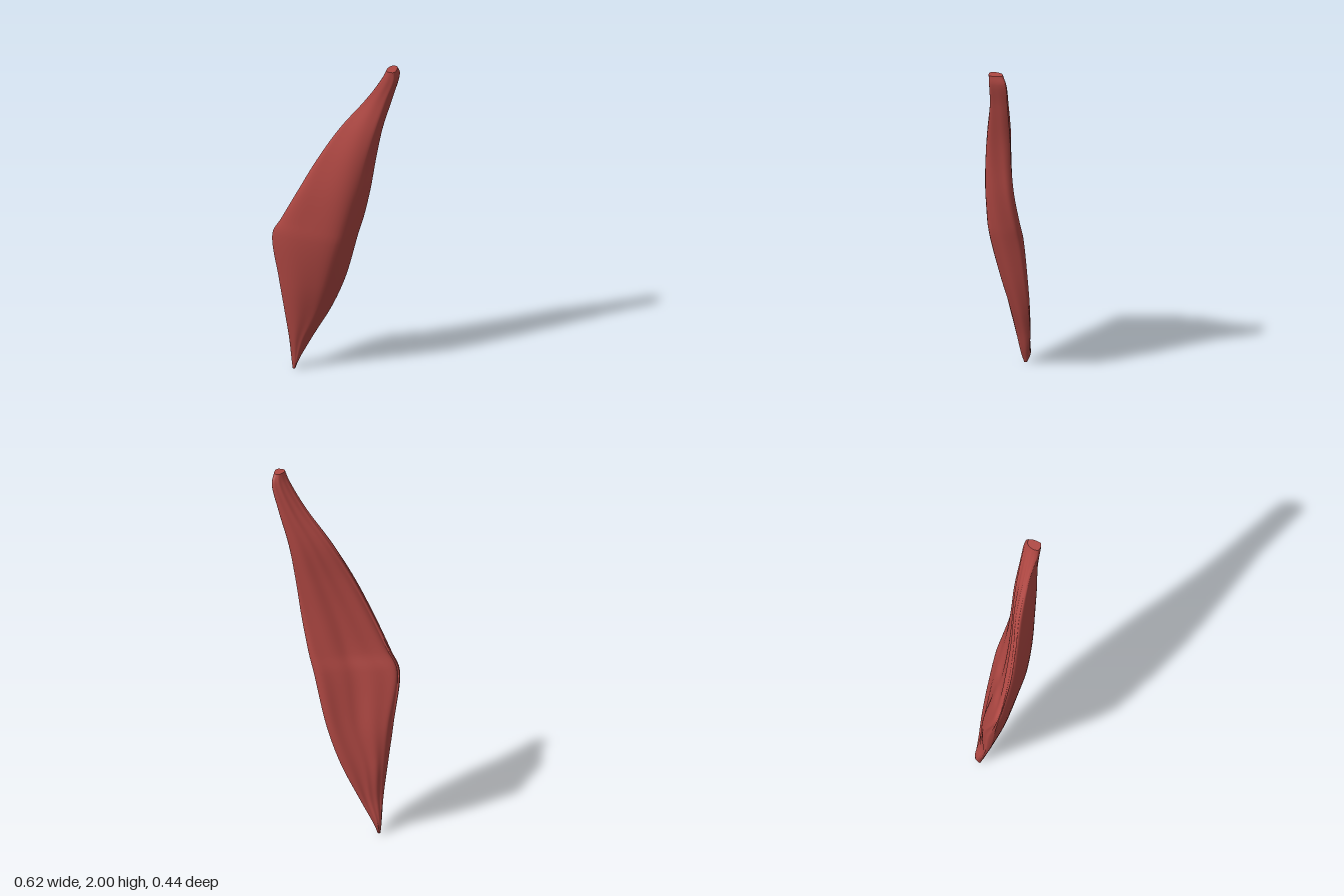
import * as THREE from 'three';

// Cross-sections from bottom to top: y, then x,z of
// outer edge, front belly, inner edge, back, back outer edge
const SECTIONS = [
  [0.0, -0.178, -0.195, -0.170, -0.190, -0.163, -0.198, -0.167, -0.207, -0.175, -0.205],
  [0.05, -0.183, -0.195, -0.168, -0.172, -0.143, -0.200, -0.155, -0.220, -0.175, -0.216],
  [0.2, -0.205, -0.170, -0.150, -0.132, -0.070, -0.175, -0.120, -0.188, -0.185, -0.187],
  [0.4, -0.238, -0.150, -0.090, -0.067, 0.020, -0.125, -0.100, -0.165, -0.200, -0.190],
  [0.6, -0.270, -0.140, -0.050, 0.000, 0.080, -0.080, -0.060, -0.130, -0.225, -0.187],
  [0.9, -0.310, -0.128, 0.000, 0.087, 0.132, -0.025, -0.050, -0.085, -0.288, -0.140],
  [1.0, -0.275, -0.093, 0.020, 0.105, 0.150, 0.000, -0.040, -0.055, -0.250, -0.100],
  [1.2, -0.198, -0.032, 0.060, 0.133, 0.176, 0.045, 0.000, -0.015, -0.170, -0.045],
  [1.4, -0.108, 0.012, 0.100, 0.154, 0.200, 0.070, 0.060, 0.020, -0.080, 0.000],
  [1.6, 0.002, 0.058, 0.150, 0.174, 0.232, 0.090, 0.130, 0.050, 0.030, 0.040],
  [1.8, 0.130, 0.128, 0.210, 0.191, 0.280, 0.125, 0.220, 0.100, 0.150, 0.107],
  [1.95, 0.205, 0.190, 0.255, 0.217, 0.308, 0.150, 0.270, 0.137, 0.220, 0.155],
  [2.0, 0.222, 0.200, 0.255, 0.220, 0.290, 0.165, 0.270, 0.150, 0.232, 0.172],
];
const ROWS = 96;
const SIDES = 80;

// Lengthwise guide curves, one for each corner of the cross-section
function makeGuides() {
  return [0, 1, 2, 3, 4].map((k) => new THREE.CatmullRomCurve3(
    SECTIONS.map((s) => new THREE.Vector3(s[1 + 2 * k], s[0], s[2 + 2 * k]))));
}

// Shallow slanted fibre grooves, fading out at both ends
function fibre(u, v) {
  const fade = Math.sin(Math.PI * v);
  const fine = Math.sin(2 * Math.PI * (9 * u + 1.6 * v));
  const broad = Math.sin(2 * Math.PI * (4 * u - 0.8 * v) + 1);
  return fade * (0.003 * fine + 0.003 * broad);
}

function makeBody() {
  const guides = makeGuides();
  const positions = [];
  const indices = [];
  for (let i = 0; i <= ROWS; i++) {
    const v = i / ROWS;
    const ring = new THREE.CatmullRomCurve3(guides.map((g) => g.getPoint(v)), true);
    for (let j = 0; j < SIDES; j++) {
      const p = ring.getPoint(j / SIDES);
      positions.push(p.x, p.y, p.z + fibre(j / SIDES, v));
    }
  }
  for (let i = 0; i < ROWS; i++) {
    for (let j = 0; j < SIDES; j++) {
      const k = (j + 1) % SIDES;
      const a = i * SIDES + j, b = i * SIDES + k;
      indices.push(a, b, a + SIDES, b, b + SIDES, a + SIDES);
    }
  }
  // End caps on their own vertices, so the rims stay crisp
  for (const row of [0, ROWS]) {
    const start = positions.length / 3;
    const centre = new THREE.Vector3();
    for (let j = 0; j < SIDES; j++) {
      const p = new THREE.Vector3().fromArray(positions, (row * SIDES + j) * 3);
      centre.addScaledVector(p, 1 / SIDES);
      positions.push(p.x, p.y, p.z);
    }
    positions.push(centre.x, centre.y, centre.z);
    for (let j = 0; j < SIDES; j++) {
      const a = start + j, b = start + (j + 1) % SIDES, c = start + SIDES;
      if (row === 0) indices.push(c, b, a);
      else indices.push(c, a, b);
    }
  }
  const geometry = new THREE.BufferGeometry();
  geometry.setAttribute('position', new THREE.Float32BufferAttribute(positions, 3));
  geometry.setIndex(indices);
  geometry.computeVertexNormals();
  return geometry;
}

export function createModel() {
  const group = new THREE.Group();
  group.name = 'muscle';
  const red = new THREE.MeshStandardMaterial({ color: 0xb04843 });
  red.name = 'muscle red';
  const body = new THREE.Mesh(makeBody(), red);
  body.name = 'muscleBelly';
  group.add(body);
  return group;
}
